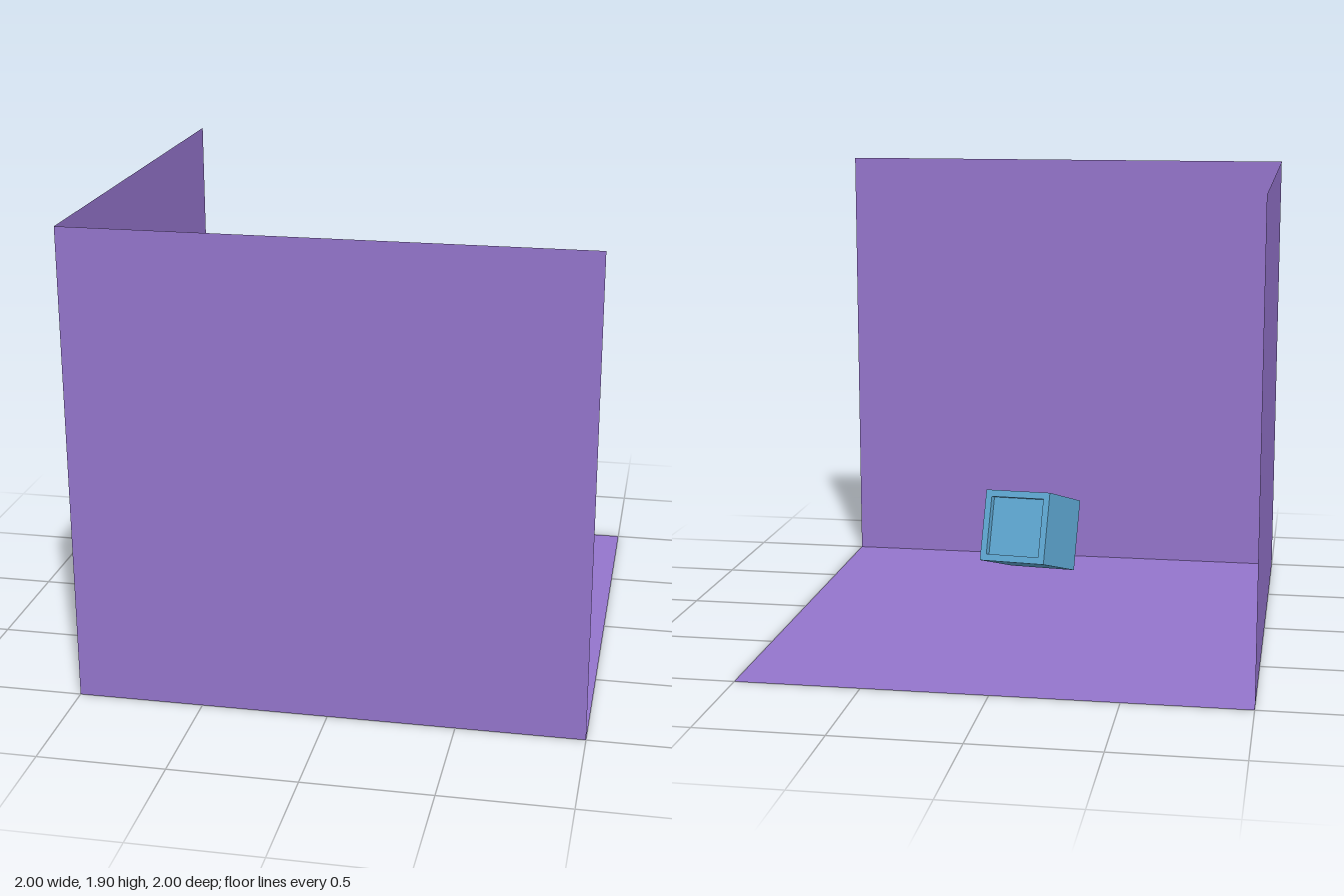
import * as THREE from 'three';

const W = 2, H = 1.9;          // room width and wall height
const S = 0.3, RIM = 0.028, RECESS = 0.025; // cube side, rim width, recess depth

function add(parent, name, geometry, material) {
  const mesh = new THREE.Mesh(geometry, material);
  mesh.name = name;
  parent.add(mesh);
  return mesh;
}

// Square outline centred on the origin
function square(Type, half) {
  return new Type([[-1, -1], [1, -1], [1, 1], [-1, 1]].map(([x, y]) => new THREE.Vector2(x * half, y * half)));
}

export function createModel() {
  const model = new THREE.Group();
  model.name = 'roomCornerWithCube';
  const purple = new THREE.MeshStandardMaterial({ color: 0x9575cd, side: THREE.DoubleSide });
  const blue = new THREE.MeshStandardMaterial({ color: 0x5fa8d3 });

  // Floor and two thin walls meeting at one corner
  add(model, 'floor', new THREE.PlaneGeometry(W, W).rotateX(-Math.PI / 2), purple);
  add(model, 'frontWall', new THREE.PlaneGeometry(W, H).rotateY(Math.PI).translate(0, H / 2, W / 2), purple);
  add(model, 'sideWall', new THREE.PlaneGeometry(W, H).rotateY(Math.PI / 2).translate(-W / 2, H / 2, 0), purple);

  // Tilted floating cube with a shallow recess in its back face
  const cube = new THREE.Group();
  cube.name = 'cube';
  add(cube, 'cubeBody', new THREE.BoxGeometry(S, S, S - RECESS).translate(0, 0, RECESS / 2), blue);
  const rim = square(THREE.Shape, S / 2);
  rim.holes.push(square(THREE.Path, S / 2 - RIM));
  add(cube, 'cubeRim', new THREE.ExtrudeGeometry(rim, { depth: RECESS, bevelEnabled: false }).translate(0, 0, -S / 2), blue);
  cube.rotation.set(0.34, -0.31, 0.045);
  cube.position.set(0, 0.386, 0);
  model.add(cube);

  return model;
}
